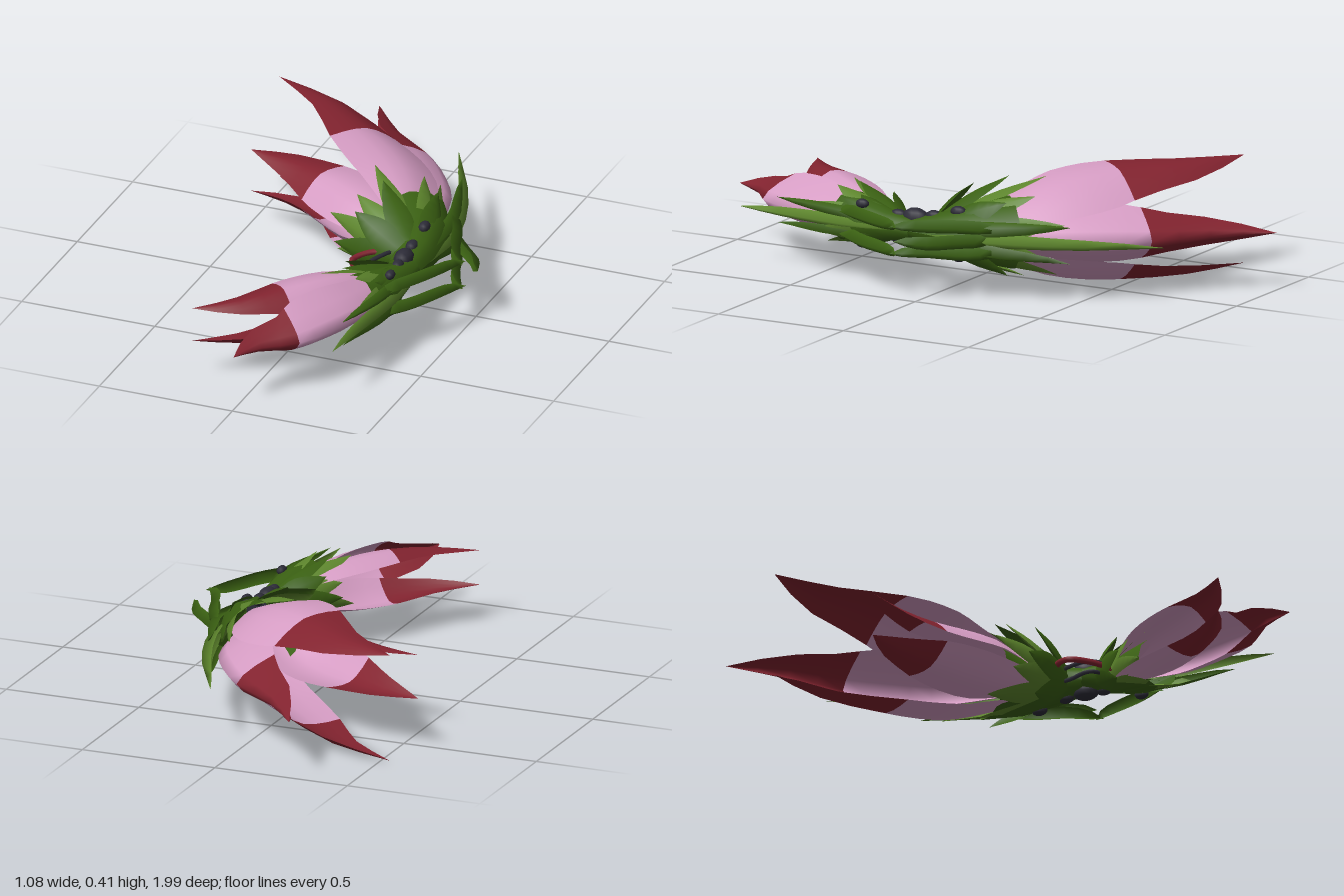
import * as THREE from 'three';

const V = (x, y, z) => new THREE.Vector3(x, y, z);
const mat = (name, color) => {
  const m = new THREE.MeshStandardMaterial({ color, side: THREE.DoubleSide });
  m.name = name;
  return m;
};

// Width rules along a blade, sampled evenly from base to tip
const PETAL = [0.3, 0.52, 0.7, 0.84, 0.94, 1, 1, 0.96, 0.86, 0.67, 0.48, 0.26, 0];
const LEAF = [0.5, 0.75, 0.95, 1, 0.88, 0.65, 0.36, 0];
const STRAP = [0.5, 0.85, 1, 1, 0.95, 0.85, 0.7, 0.42, 0];
const CURL = [0.8, 1, 1, 1, 1, 0.95, 0.88, 0.65, 0];

// Indexed smooth surface from a grid of points
function gridGeometry(rows) {
  const n = rows[0].length, index = [];
  for (let i = 0; i < rows.length - 1; i++) for (let j = 0; j < n - 1; j++) {
    const a = i * n + j;
    index.push(a, a + 1, a + n, a + 1, a + n + 1, a + n);
  }
  const g = new THREE.BufferGeometry().setFromPoints(rows.flat());
  g.setIndex(index);
  g.computeVertexNormals();
  return g;
}

// Cupped strip along a curve; rows from..to of the width rule are built
function bladeGeometry(points, normal, width, depth, rule, cols, from = 0, to = rule.length - 1) {
  const curve = new THREE.CatmullRomCurve3(points);
  const rows = [];
  for (let i = from; i <= to; i++) {
    const t = i / (rule.length - 1), w = rule[i];
    const c = curve.getPoint(t), tan = curve.getTangent(t);
    const across = tan.clone().cross(normal).normalize();
    const out = across.clone().cross(tan).normalize();
    const row = [];
    for (let j = 0; j <= cols; j++) {
      const s = (j / cols) * 2 - 1;
      row.push(c.clone().addScaledVector(across, s * width * w)
        .addScaledVector(out, -depth * w * Math.pow(Math.abs(s), 1.6)));
    }
    rows.push(row);
  }
  return gridGeometry(rows);
}

// Elliptical funnel through rings [x, z, radius across, radius up, direction x, direction z]
function funnelGeometry(rings, sides = 12) {
  return gridGeometry(rings.map(([x, z, r, h, dx, dz]) =>
    Array.from({ length: sides + 1 }, (_, j) => {
      const a = (j / sides) * Math.PI * 2;
      return V(x - dz * r * Math.cos(a), h * Math.sin(a), z + dx * r * Math.cos(a));
    })));
}

export function createModel() {
  const root = new THREE.Group();
  root.name = 'flowerBow';
  const model = new THREE.Group();
  model.name = 'bowBody';
  model.position.y = 0.205;
  root.add(model);

  const pink = mat('petalPink', 0xd69dc4);
  const red = mat('petalTipRed', 0x82232f);
  const leafGreen = mat('leafGreen', 0x5d852c);
  const darkGreen = mat('stemGreen', 0x3a6012);
  const dark = mat('gripDark', 0x2d2c38);

  const add = (name, geometry, material) => {
    const m = new THREE.Mesh(geometry, material);
    m.name = name;
    model.add(m);
    return m;
  };
  const flip = (p, s) => V(p.x, p.y * s, p.z);

  // Petals: pink lower part and red tip meet at row 8; the tip is bent sideways
  function petal(name, pts, bend, normal, width, depth, mirrored) {
    const path = new THREE.CatmullRomCurve3(pts).getPoints(6);
    path[5].add(bend);
    for (const s of mirrored ? [1, -1] : [1]) {
      const p = path.map((q) => flip(q, s)), n = flip(normal, s);
      add(name, bladeGeometry(p, n, width, depth, PETAL, 6, 0, 8), pink);
      add(name + 'Tip', bladeGeometry(p, n, width, depth, PETAL, 6, 8, 12), red);
    }
  }
  petal('backOuterPetal', [V(0.28, 0, -0.08), V(0.23, 0, -0.43), V(0.05, 0, -0.69), V(-0.28, 0, -1)],
    V(-0.02, 0, 0.02), V(0.7, 0, -0.7), 0.105, 0.165, false);
  petal('backSidePetal', [V(0.25, 0.06, -0.08), V(0.1, 0.155, -0.3), V(-0.11, 0.193, -0.47), V(-0.54, 0.193, -0.72)],
    V(0.01, 0, -0.03), V(0.2, 1, -0.25), 0.162, 0.045, true);
  petal('backInnerPetal', [V(0.22, 0.03, -0.02), V(0.02, 0.095, -0.13), V(-0.2, 0.088, -0.27), V(-0.5, 0.08, -0.37)],
    V(0, 0, -0.012), V(-0.22, 1, 0.27), 0.12, 0.045, true);
  petal('frontOuterPetal', [V(0.3, 0, 0.26), V(0.285, 0, 0.54), V(0.17, 0, 0.8), V(0, 0, 0.99)],
    V(-0.025, 0, -0.015), V(0.85, 0, 0.5), 0.095, 0.14, false);
  petal('frontSidePetal', [V(0.26, 0.04, 0.26), V(0.16, 0.085, 0.43), V(0.03, 0.095, 0.61), V(-0.23, 0.063, 0.81)],
    V(0.01, 0, 0.015), V(0.2, 1, 0.15), 0.1, 0.05, true);

  // Green funnels running from the grip into the flowers
  add('backFunnel', funnelGeometry([[0.28, 0.13, 0.06, 0.04, 0, -1], [0.28, 0.02, 0.07, 0.07, -0.1, -1],
    [0.25, -0.09, 0.11, 0.1, -0.5, -0.86], [0.17, -0.19, 0.15, 0.13, -0.7, -0.7]]), darkGreen);
  add('frontFunnel', funnelGeometry([[0.28, 0.11, 0.06, 0.04, 0, 1], [0.285, 0.22, 0.06, 0.055, 0, 1],
    [0.27, 0.31, 0.08, 0.08, -0.3, 0.95], [0.23, 0.41, 0.09, 0.09, -0.45, 0.89]]), darkGreen);

  // Rings of sepals round each funnel; those on the inner side are shorter
  function sepals(name, o, a, u, count, r0, r1, up, len, width, turn, material) {
    for (let i = 0; i < count; i++) {
      const f = turn + (i / count) * Math.PI * 2, c = Math.cos(f), s = Math.sin(f);
      const reach = len * (i % 2 ? 0.85 : 1.08) * (c < -0.5 ? 0.85 : 1), wide = c > 0 ? 1.3 : 1;
      const at = (h, r) => o.clone().addScaledVector(a, h * reach)
        .addScaledVector(u, r * c * wide).add(V(0, r * s * up, 0));
      const normal = u.clone().multiplyScalar(c).add(V(0, s, 0));
      add(name, bladeGeometry([at(0, r0), at(0.5, r0 + (r1 - r0) * 0.62), at(1, r1)],
        normal, width, width * 0.4, LEAF, 2), material);
    }
  }
  const ab = V(-0.7, 0, -0.71), ub = V(0.71, 0, -0.7);
  const af = V(-0.45, 0, 0.89), uf = V(0.89, 0, 0.45);
  sepals('backSepal', V(0.28, 0, 0.02), ab, ub, 10, 0.06, 0.2, 0.88, 0.35, 0.045, 0.31, leafGreen);
  sepals('backLowerSepal', V(0.28, 0, 0.05), ab, ub, 8, 0.05, 0.2, 0.9, 0.25, 0.05, 0, darkGreen);
  sepals('frontSepal', V(0.285, 0, 0.23), af, uf, 8, 0.045, 0.125, 0.92, 0.27, 0.038, 0.39, leafGreen);
  sepals('frontLowerSepal', V(0.285, 0, 0.18), af, uf, 8, 0.045, 0.12, 0.92, 0.24, 0.04, 0, darkGreen);

  // Long folded leaves along the outer side of the bow
  const strap = (name, pts, normal, width, depth, rule, material) =>
    add(name, bladeGeometry(pts, normal, width, depth, rule, 2), material);
  const X = V(1, 0, 0);
  strap('backLongLeaf', [V(0.34, 0, 0.1), V(0.365, 0, -0.15), V(0.285, 0, -0.45), V(0.11, 0, -0.78)],
    X, 0.026, 0.045, STRAP, leafGreen);
  strap('frontLongLeaf', [V(0.34, 0, 0.12), V(0.36, 0, 0.36), V(0.335, 0, 0.6), V(0.3, 0, 0.82)],
    X, 0.024, 0.04, STRAP, leafGreen);
  for (const s of [1, -1]) {
    strap('backShortLeaf', [V(0.33, 0.02 * s, 0.04), V(0.355, 0.05 * s, -0.18), V(0.25, 0.065 * s, -0.48)],
      V(1, 0.4 * s, 0), 0.03, 0.035, STRAP, darkGreen);
    strap('frontShortLeaf', [V(0.33, 0.02 * s, 0.2), V(0.345, 0.045 * s, 0.4), V(0.28, 0.045 * s, 0.68)],
      V(1, 0.4 * s, 0), 0.022, 0.03, STRAP, darkGreen);
  }

  // Folded curling leaves that meet in front of the grip
  for (const s of [1, -1]) {
    strap('backCurlLeaf', [V(0.35, 0.04 * s, -0.22), V(0.4, 0.048 * s, -0.12), V(0.44, 0.045 * s, 0), V(0.495, 0.048 * s, 0.11)],
      X, 0.024, 0.035, CURL, darkGreen);
    strap('frontCurlLeaf', [V(0.34, 0.04 * s, 0.4), V(0.41, 0.045 * s, 0.29), V(0.46, 0.045 * s, 0.18), V(0.495, 0.048 * s, 0.08)],
      X, 0.024, 0.035, CURL, darkGreen);
  }
  strap('middleCurlLeaf', [V(0.35, 0, -0.2), V(0.42, 0, -0.12), V(0.5, 0, -0.03), V(0.535, 0.01, 0.07)],
    X, 0.025, 0.03, CURL, darkGreen);

  // Grip with long knots above and below
  const grip = add('grip', new THREE.CylinderGeometry(0.046, 0.046, 0.16, 10), dark);
  grip.rotation.x = Math.PI / 2;
  grip.position.set(0.28, 0, 0.12);
  const knots = [[0.28, 0.038, 0.125, 0.034], [0.28, 0.05, 0.05, 0.022], [0.285, 0.04, 0.19, 0.021],
    [0.285, 0.08, -0.05, 0.02], [0.31, 0.07, 0.32, 0.017]];
  for (const [x, y, z, r] of knots) for (const s of [1, -1]) {
    const knot = add('knot', new THREE.SphereGeometry(r, 10, 7), dark);
    knot.scale.z = 1.5;
    knot.position.set(x, y * s, z);
  }

  // Thin curled stems on the inner side of the grip
  const vine = (name, pts, r, material) =>
    add(name, new THREE.TubeGeometry(new THREE.CatmullRomCurve3(pts), 20, r, 6), material);
  vine('redVine', [V(0.23, 0, 0.04), V(0.14, 0.01, 0.07), V(0.09, 0, 0.13), V(0.13, 0, 0.19), V(0.22, 0, 0.25)], 0.011, red);
  for (const s of [1, -1]) {
    vine('darkVine', [V(0.22, 0.02 * s, 0.04), V(0.195, 0.025 * s, 0.1), V(0.17, 0.02 * s, 0.18), V(0.24, 0.02 * s, 0.25)], 0.008, dark);
  }
  return root;
}
